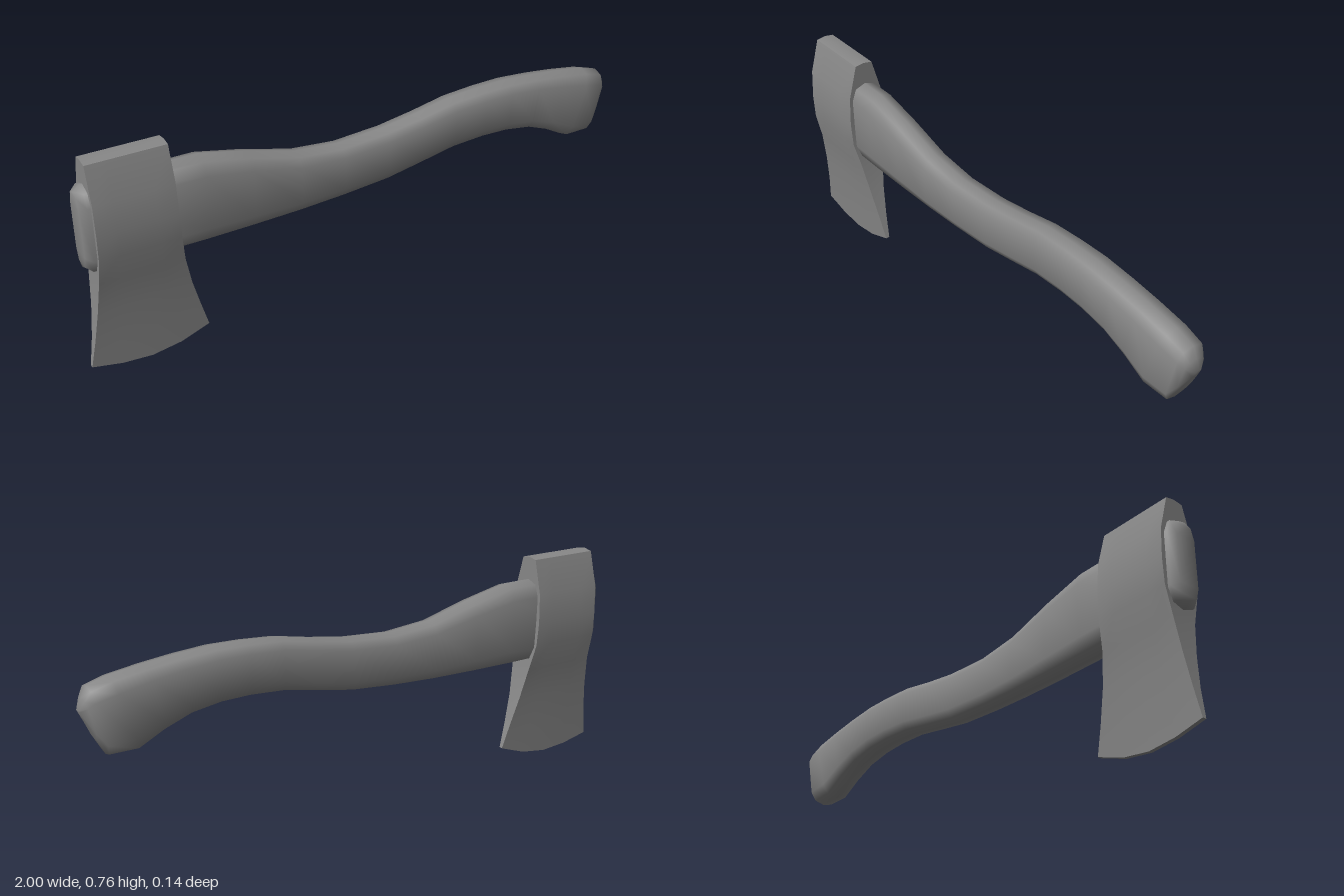
import * as THREE from 'three';
import { toCreasedNormals } from 'three/addons/utils/BufferGeometryUtils.js';

// Closed solid through rings of points (counter-clockwise seen along the advance)
function loft(rings, crease) {
  const n = rings[0].length;
  const pos = [];
  const quad = (a, b, c, d) => [a, b, c, a, c, d].forEach((p) => pos.push(...p));
  for (let r = 0; r < rings.length - 1; r++) {
    const p = rings[r], q = rings[r + 1];
    for (let i = 0; i < n; i++) {
      const j = (i + 1) % n;
      quad(p[i], p[j], q[j], q[i]);
    }
  }
  // End caps as strips between opposite ring points
  const first = rings[0], last = rings[rings.length - 1];
  for (let i = 0; i < n / 2 - 1; i++) {
    quad(last[i], last[i + 1], last[n - 2 - i], last[n - 1 - i]);
    quad(first[n - 1 - i], first[n - 2 - i], first[i + 1], first[i]);
  }
  const geometry = new THREE.BufferGeometry();
  geometry.setAttribute('position', new THREE.Float32BufferAttribute(pos, 3));
  return toCreasedNormals(geometry, crease);
}

function makeHandle() {
  // Rounded section: sideways and upward factors
  const section = [[0, 1], [0.7, 0.91], [1, 0.62], [1, -0.62], [0.7, -0.91],
    [0, -1], [-0.7, -0.91], [-1, -0.62], [-1, 0.62], [-0.7, 0.91]];
  // Bottom x, bottom y, top x, top y, half thickness
  const stations = [
    [-0.987, 0.4, -0.987, 0.66, 0.037],
    [-0.965, 0.383, -0.965, 0.677, 0.055],
    [-0.59, 0.379, -0.59, 0.677, 0.055],
    [-0.43, 0.381, -0.43, 0.642, 0.053],
    [-0.26, 0.386, -0.26, 0.594, 0.051],
    [-0.1, 0.394, -0.1, 0.579, 0.049],
    [0.07, 0.408, 0.07, 0.59, 0.049],
    [0.2, 0.432, 0.2, 0.61, 0.05],
    [0.33, 0.457, 0.33, 0.635, 0.051],
    [0.45, 0.465, 0.45, 0.643, 0.053],
    [0.55, 0.463, 0.56, 0.645, 0.055],
    [0.65, 0.447, 0.68, 0.637, 0.055],
    [0.74, 0.412, 0.79, 0.626, 0.055],
    [0.825, 0.367, 0.9, 0.611, 0.055],
    [0.921, 0.367, 0.967, 0.591, 0.051],
    [0.952, 0.424, 0.984, 0.556, 0.037],
    [0.982, 0.488, 0.998, 0.522, 0.011],
  ];
  const rings = stations.map(([bx, by, tx, ty, w]) => section.map(([s, u]) => {
    const t = (u + 1) / 2;
    return [bx + (tx - bx) * t, by + (ty - by) * t, s * w];
  }));
  return loft(rings, 1.3);
}

function makeHead() {
  // Height, left x, right x, half thickness, amount of cutting-edge curve
  const rows = [
    [0.03, -1, -0.597, 0.007, 1],
    [0.13, -0.982, -0.624, 0.016, 0.6],
    [0.24, -0.967, -0.653, 0.029, 0.25],
    [0.35, -0.957, -0.675, 0.045, 0],
    [0.445, -0.955, -0.688, 0.067, 0],
    [0.53, -0.955, -0.692, 0.071, 0],
    [0.632, -0.955, -0.694, 0.066, 0],
    [0.752, -0.955, -0.695, 0.033, 0],
    [0.757, -0.955, -0.695, 0, 0],
  ];
  const edge = [0, -0.022, -0.03, -0.015, 0.021];
  const rings = rows.map(([y, l, r, w, curve]) => {
    const side = edge.map((e, i) => [l + (r - l) * i / 4, y + e * curve, w]);
    return [...side, ...side.map(([x, h, z]) => [x, h, -z]).reverse()];
  });
  return loft(rings, 0.6);
}

export function createModel() {
  const model = new THREE.Group();
  model.name = 'axe';
  const material = new THREE.MeshStandardMaterial({ color: 0x888888 });
  const parts = { handle: makeHandle(), axeHead: makeHead() };
  for (const [name, geometry] of Object.entries(parts)) {
    const mesh = new THREE.Mesh(geometry, material);
    mesh.name = name;
    model.add(mesh);
  }
  return model;
}
